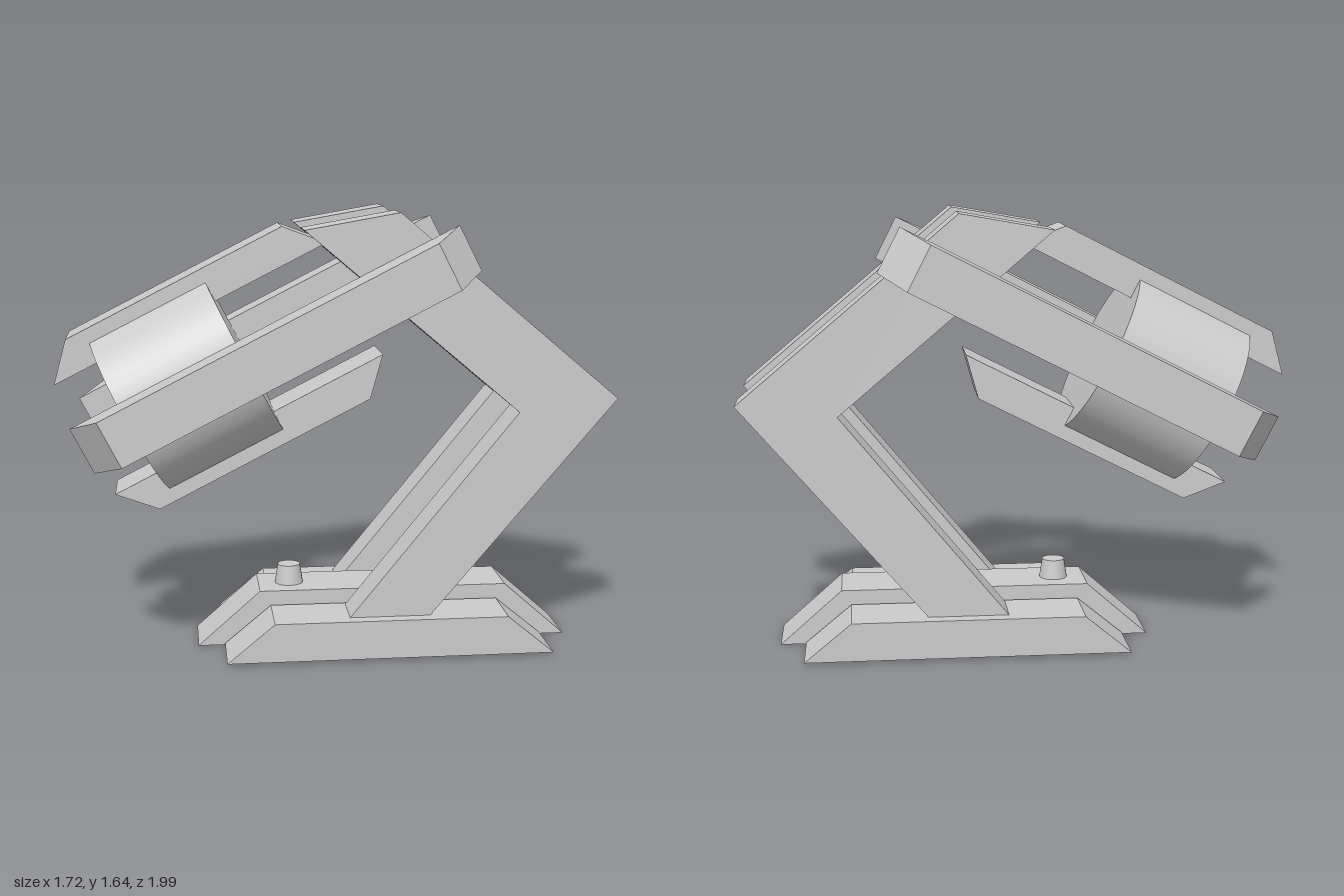
import * as THREE from 'three';

const material = new THREE.MeshStandardMaterial({ color: 0xcccccc });
const flat = new THREE.MeshStandardMaterial({ color: 0xcccccc, flatShading: true });

function add(parent, name, geometry, mat = material) {
  const mesh = new THREE.Mesh(geometry, mat);
  mesh.name = name;
  parent.add(mesh);
  return mesh;
}

// Side profile given as [z, y] points, extruded to a width centred on x = 0
function slab(points, width) {
  const shape = new THREE.Shape(points.map(([z, y]) => new THREE.Vector2(z, y)));
  const geometry = new THREE.ExtrudeGeometry(shape, { depth: width, bevelEnabled: false });
  return geometry.translate(0, 0, -width / 2).rotateY(-Math.PI / 2);
}

// Bar along z with slanted ends, longest on its lower (inner) face
function bar(back, front, low, high, slant, width) {
  return slab([[back, low], [front, low], [front - slant, high], [back + slant, high]], width);
}

export function createModel() {
  const model = new THREE.Group();
  model.name = 'spotlight';
  const rig = new THREE.Group();
  rig.name = 'rig';
  rig.position.set(0.02, 0, 0.014);
  rig.rotation.y = THREE.MathUtils.degToRad(-35);
  model.add(rig);

  // Foot: tall middle rail between two lower side rails
  add(rig, 'middleFootRail', bar(-0.887, 0.527, 0, 0.207, 0.235, 0.235));
  for (const side of [-1, 1]) {
    add(rig, 'sideFootRail', bar(-0.79, 0.427, 0.01, 0.155, 0.175, 0.23)).position.x = side * 0.245;
  }

  // Knob on the foot
  add(rig, 'footKnob', new THREE.CylinderGeometry(0.043, 0.057, 0.09, 20)).position.set(0, 0.235, 0.173);

  // Pair of bent legs
  const legProfile = [
    [0.01, 0.106], [-0.65, 0.915], [0.135, 1.58],
    [-0.207, 1.64], [-1.016, 0.96], [-0.288, 0.106],
  ];
  for (const side of [-1, 1]) {
    add(rig, 'leg', slab(legProfile, 0.165)).position.x = side * 0.2275;
  }

  // Rod joining the knees
  const rod = add(rig, 'kneeRod', new THREE.CylinderGeometry(0.037, 0.037, 0.36, 10), flat);
  rod.rotation.z = Math.PI / 2;
  rod.position.set(0, 0.937, -0.86);

  // Lamp head, tipped forward
  const head = new THREE.Group();
  head.name = 'lampHead';
  head.position.set(0, 1.016, 0.518);
  head.rotation.x = THREE.MathUtils.degToRad(27);
  rig.add(head);

  // Barrel: doubled profile points keep the rims sharp
  const profile = [
    [0, -0.2], [0.33, -0.2], [0.33, 0.275], [0.262, 0.275],
    [0.262, 0.245], [0.225, 0.245], [0.225, 0.225], [0, 0.225],
  ];
  const barrel = new THREE.Group();
  barrel.name = 'lampBarrel';
  barrel.rotation.x = Math.PI / 2;
  head.add(barrel);
  const partNames = ['barrelBack', 'barrelWall', 'frontRim', 'rimInside', 'lensRing', 'lensEdge', 'lens'];
  partNames.forEach((name, i) => {
    const pair = [profile[i], profile[i + 1]].map(([r, y]) => new THREE.Vector2(r, y));
    add(barrel, name, new THREE.LatheGeometry(pair, 56));
  });

  // Four bars around the barrel: short above and below, long at the sides
  for (const [name, angle] of [['topBar', 0], ['bottomBar', Math.PI]]) {
    add(head, name, bar(-0.657, 0.462, 0.232, 0.36, 0.117, 0.237)).rotation.z = angle;
  }
  for (const side of [-1, 1]) {
    add(head, 'sideBar', bar(-1.096, 0.462, 0.309, 0.474, 0.115, 0.183)).rotation.z = -side * Math.PI / 2;
  }

  return model;
}
